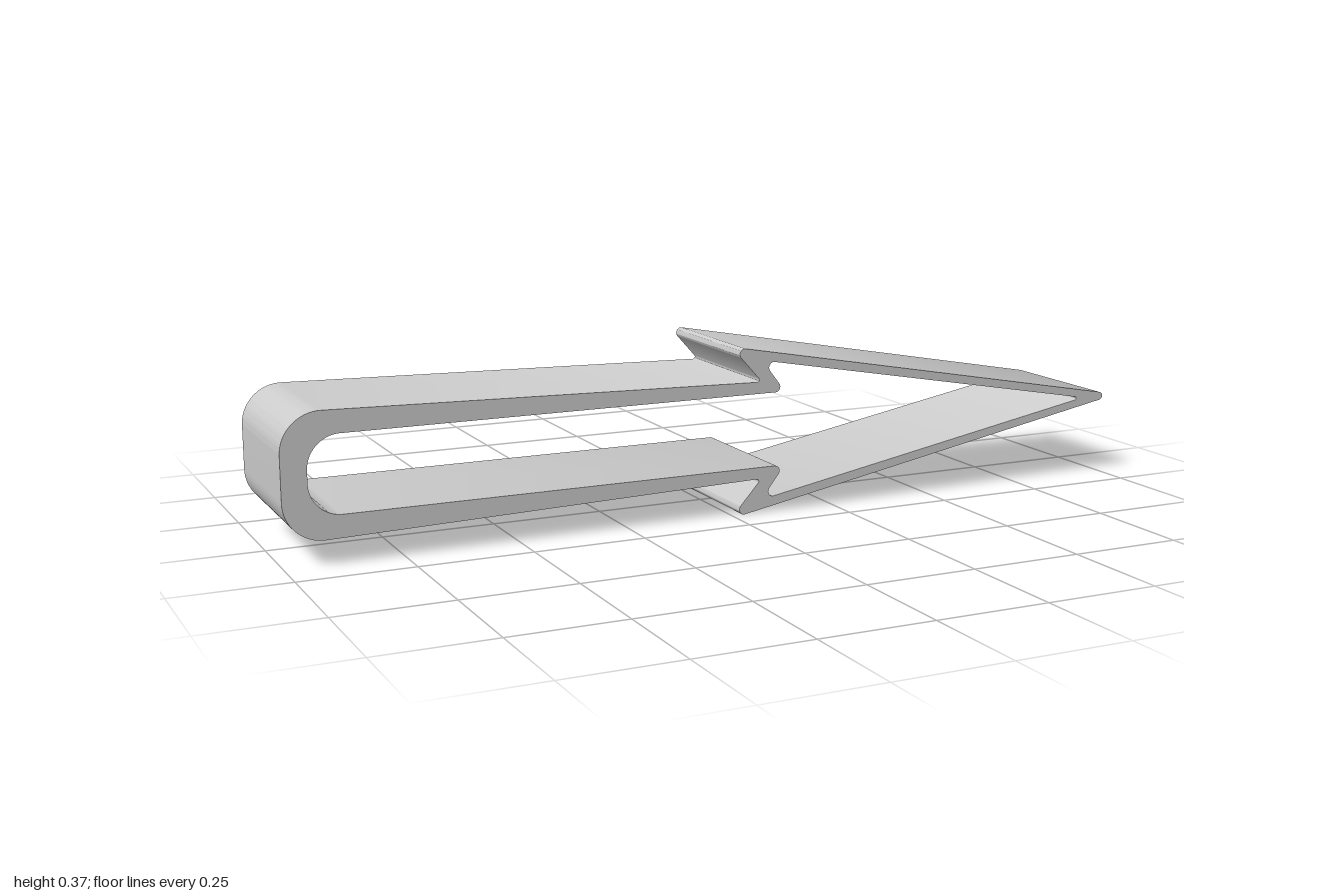
import * as THREE from 'three';
import { toCreasedNormals } from 'three/addons/utils/BufferGeometryUtils.js';

const MID = 0.1875; // height of the mirror line
const DEPTH = 0.33;

// Upper half outlines as [x, y, fillet radius]; points on MID are not mirrored
const OUTER = [
  [-1, 0.323, 0.085],       // closed end of the loop
  [0.072, 0.297, 0.005],    // notch behind the barb
  [-0.003, 0.3805, 0.012],  // barb
  [1.043, MID, 0.0095],     // arrow tip
];
const INNER = [
  [-0.946, 0.271, 0.07],    // closed end of the slot
  [0.13, 0.271, 0.012],     // hook of the arm
  [0.073, 0.345, 0.012],    // hollow of the barb
  [0.942, MID, 0.004],      // inside of the arrow tip
];

// Mirrors a half outline and rounds every corner with a tangent arc, running counter-clockwise
function roundedOutline(half, path) {
  const lower = half.filter(p => p[1] !== MID).map(([x, y, r]) => [x, 2 * MID - y, r]);
  const pts = [...lower, ...half.slice().reverse()];
  const n = pts.length;
  pts.forEach(([x, y, r], i) => {
    const p = new THREE.Vector2(x, y);
    const prev = new THREE.Vector2(...pts[(i + n - 1) % n].slice(0, 2));
    const next = new THREE.Vector2(...pts[(i + 1) % n].slice(0, 2));
    const toPrev = prev.sub(p).normalize();
    const toNext = next.sub(p).normalize();
    const turn = Math.PI - Math.acos(toPrev.dot(toNext));
    const trim = r * Math.tan(turn / 2);
    const handle = trim - r * (4 / 3) * Math.tan(turn / 4);
    const at = (dir, d) => p.clone().addScaledVector(dir, d);
    const a = at(toPrev, trim), b = at(toPrev, handle);
    const c = at(toNext, handle), d = at(toNext, trim);
    if (i === 0) path.moveTo(a.x, a.y);
    else path.lineTo(a.x, a.y);
    path.bezierCurveTo(b.x, b.y, c.x, c.y, d.x, d.y);
  });
  path.closePath();
  return path;
}

export function createModel() {
  const group = new THREE.Group();
  group.name = 'arrowClip';

  // One continuous band: looped arms, barbs and arrowhead
  const shape = roundedOutline(OUTER, new THREE.Shape());
  shape.holes.push(roundedOutline(INNER, new THREE.Path()));
  const extruded = new THREE.ExtrudeGeometry(shape, { depth: DEPTH, bevelEnabled: false, curveSegments: 32 });
  extruded.translate(0, 0, -DEPTH / 2);

  const band = new THREE.Mesh(
    toCreasedNormals(extruded, 0.6),
    new THREE.MeshStandardMaterial({ color: 0xcccccc })
  );
  band.name = 'clipBand';
  group.add(band);
  return group;
}
